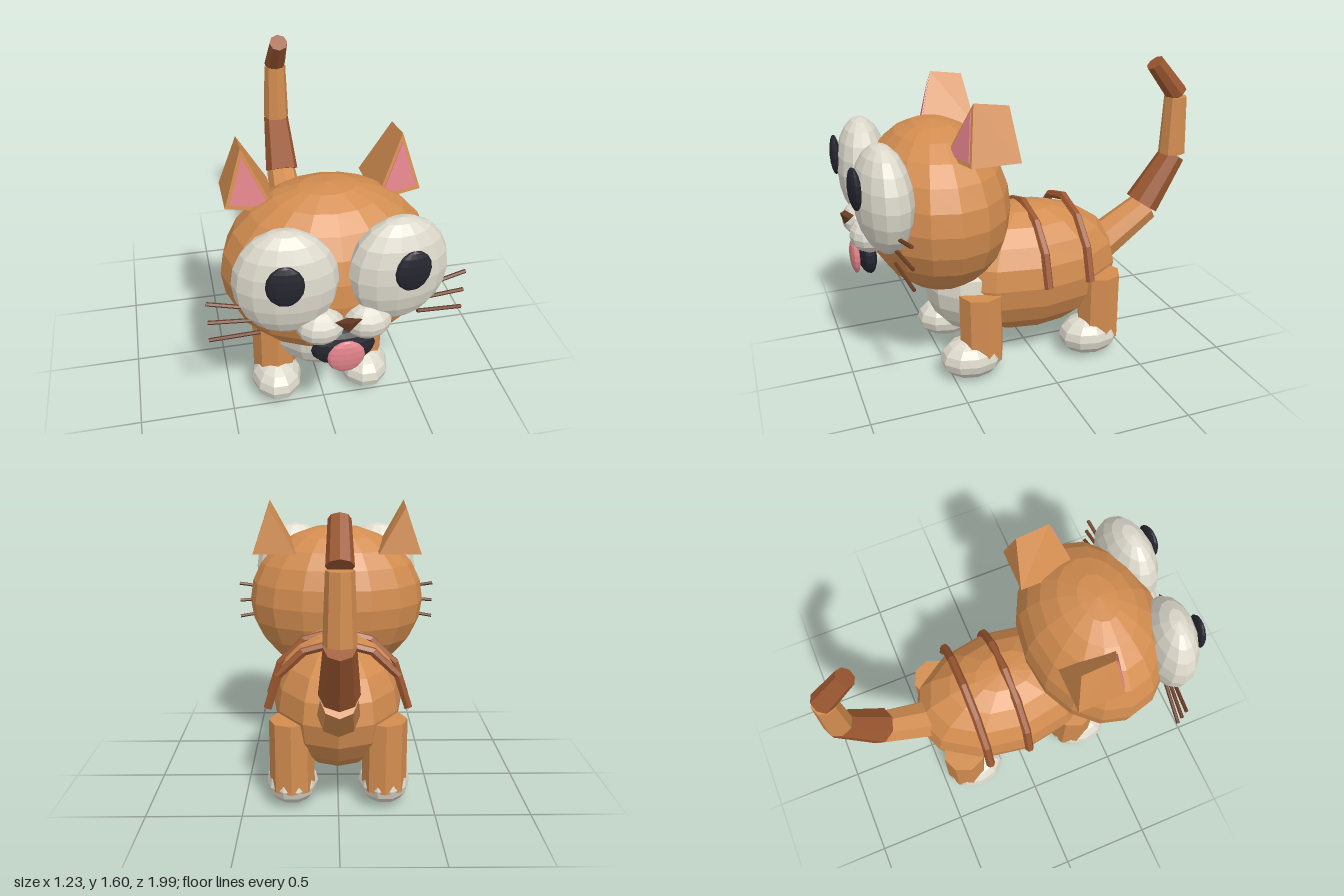
import * as THREE from 'three';
import { ConvexGeometry } from 'three/addons/geometries/ConvexGeometry.js';

const V = (x, y, z) => new THREE.Vector3(x, y, z);

export function createModel() {
  const root = new THREE.Group();
  root.name = 'cat';

  const paint = (name, color) => {
    const m = new THREE.MeshStandardMaterial({ color });
    m.name = name;
    return m;
  };
  const orange = paint('orange fur', 0xd38d50);
  const stripe = paint('stripe brown', 0x9c5731);
  const cream = paint('cream', 0xdcd8cb);
  const dark = paint('near black', 0x25262f);
  const pink = paint('pink', 0xe0828a);
  const brown = paint('dark brown', 0x6b3d25);

  // Faceted mesh: split vertices so each face gets its own normal
  function add(name, geometry, material, position = [0, 0, 0]) {
    const g = geometry.index ? geometry.toNonIndexed() : geometry;
    g.computeVertexNormals();
    const mesh = new THREE.Mesh(g, material);
    mesh.name = name;
    mesh.position.set(...position);
    root.add(mesh);
    return mesh;
  }

  function ellipsoid(name, material, position, radii, w = 12, h = 8) {
    const g = new THREE.SphereGeometry(1, w, h).scale(...radii);
    return add(name, g, material, position);
  }

  // Tapered round bar from a to b
  function bar(name, material, a, b, ra, rb, sides) {
    const dir = b.clone().sub(a);
    const g = new THREE.CylinderGeometry(rb, ra, dir.length(), sides);
    const mesh = add(name, g, material, a.clone().add(b).multiplyScalar(0.5).toArray());
    mesh.quaternion.setFromUnitVectors(V(0, 1, 0), dir.normalize());
    return mesh;
  }

  // Body, belly and head
  ellipsoid('body', orange, [0, 0.495, 0], [0.36, 0.365, 0.55], 12, 10);
  ellipsoid('belly', cream, [0, 0.46, 0.32], [0.28, 0.295, 0.255], 12, 10);
  ellipsoid('head', orange, [0, 0.93, 0.5], [0.52, 0.45, 0.38], 16, 12);

  // Stripes arching over the back
  for (const z of [0, -0.24]) {
    const arch = new THREE.CurvePath();
    const pts = [];
    for (let i = 0; i <= 6; i++) {
      const a = THREE.MathUtils.degToRad(4 + (172 * i) / 6);
      pts.push(V(0.375 * Math.cos(a), 0.475 + 0.385 * Math.sin(a), z));
    }
    for (let i = 0; i < 6; i++) arch.add(new THREE.LineCurve3(pts[i], pts[i + 1]));
    add('backStripe', new THREE.TubeGeometry(arch, 6, 0.025, 6), stripe);
  }

  // Tail: four tapering segments in alternating colours
  const tail = [
    [V(0, 0.52, -0.44), V(0, 0.73, -0.76), 0.112, 0.09, orange],
    [V(0, 0.75, -0.74), V(0, 1.03, -0.925), 0.1, 0.075, stripe],
    [V(0, 1.04, -0.918), V(0, 1.37, -0.92), 0.077, 0.064, orange],
    [V(0, 1.385, -0.925), V(0, 1.568, -0.775), 0.063, 0.052, stripe],
  ];
  for (const [a, b, ra, rb, m] of tail) bar('tailSegment', m, a, b, ra, rb, 8);

  // Nose, mouth and tongue
  const nose = new THREE.ConeGeometry(0.065, 0.055, 4).scale(1, 1, 0.55).rotateX(Math.PI - 0.3);
  add('nose', nose, brown, [0, 0.897, 0.965]);
  ellipsoid('mouth', dark, [0, 0.7, 0.875], [0.155, 0.1, 0.047], 12, 8);
  ellipsoid('tongue', pink, [0, 0.69, 0.935], [0.09, 0.09, 0.025], 12, 8);

  for (const s of [1, -1]) {
    const side = s > 0 ? 'left' : 'right';

    // Bulging eyes, turned slightly outward
    const eye = ellipsoid(side + 'Eye', cream, [s * 0.26, 1.08, 0.817], [0.242, 0.272, 0.135], 14, 10);
    eye.rotation.y = s * 0.12;
    const pupil = ellipsoid(side + 'Pupil', dark, [s * 0.285, 1.155, 0.953], [0.086, 0.105, 0.027], 12, 8);
    pupil.rotation.y = s * 0.1;

    ellipsoid(side + 'Muzzle', cream, [s * 0.112, 0.85, 0.87], [0.115, 0.092, 0.1], 12, 8);

    // Whiskers
    for (const [y0, y1] of [[0.93, 0.97], [0.865, 0.86], [0.79, 0.755]]) {
      bar(side + 'Whisker', brown, V(s * 0.38, y0, 0.8), V(s * 0.615, y1, 0.77), 0.01, 0.01, 6);
    }

    // Wedge-shaped ear with a thin pink inset on its front
    const front = [V(s * 0.475, 1.25, 0.44), V(s * 0.24, 1.245, 0.5), V(s * 0.385, 1.535, 0.395)];
    const back = [V(s * 0.475, 1.25, 0.19), V(s * 0.235, 1.25, 0.19), V(s * 0.385, 1.51, 0.22)];
    add(side + 'Ear', new ConvexGeometry([...front, ...back]), orange);
    const centre = front[0].clone().add(front[1]).add(front[2]).divideScalar(3);
    const normal = new THREE.Triangle(...front).getNormal(new THREE.Vector3());
    if (normal.z < 0) normal.negate();
    const inset = front.map((p) => p.clone().lerp(centre, 0.22));
    const raised = inset.map((p) => p.clone().addScaledVector(normal, 0.006));
    add(side + 'InnerEar', new ConvexGeometry([...inset, ...raised]), pink);

    // Legs and paws
    for (const [end, legZ, pawZ] of [['Front', 0.335, 0.393], ['Rear', -0.354, -0.3]]) {
      const leg = new THREE.CylinderGeometry(0.118, 0.118, 0.38, 8);
      add(side + end + 'Leg', leg, orange, [s * 0.243, 0.29, legZ]);
      ellipsoid(side + end + 'Paw', cream, [s * 0.245, 0.113, pawZ], [0.137, 0.113, 0.172], 10, 8);
    }
  }
  return root;
}
